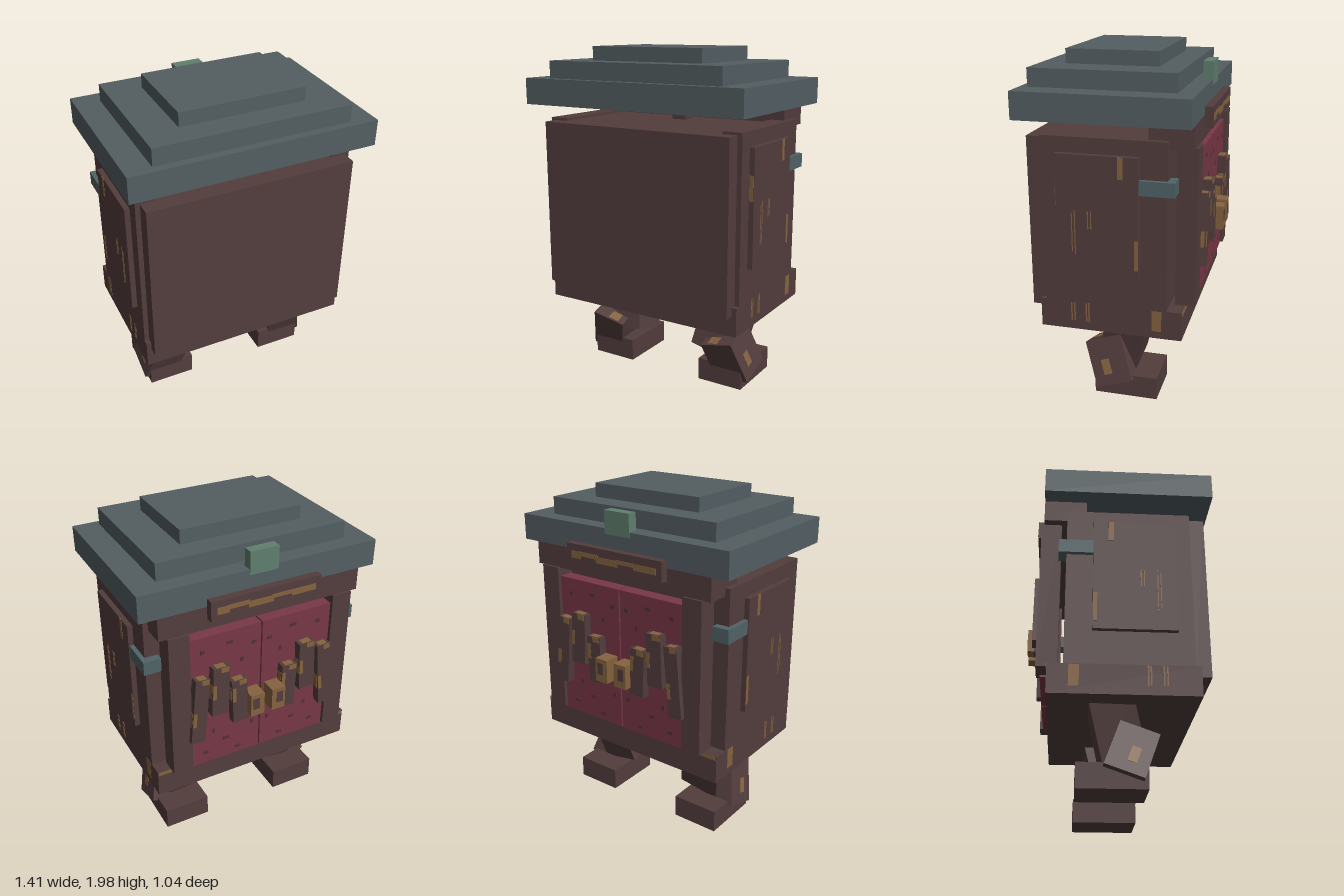
import * as THREE from 'three';

const mat = (name, color) => {
  const m = new THREE.MeshStandardMaterial({ color });
  m.name = name;
  return m;
};

export function createModel() {
  const wood = mat('dark brown', 0x533d3d);
  const slate = mat('slate', 0x535e62);
  const teal = mat('steel teal', 0x506466);
  const red = mat('door red', 0x783746);
  const darkRed = mat('dark red', 0x56303a);
  const gold = mat('worn gold', 0x85633f);
  const green = mat('green', 0x5f7f6f);

  const model = new THREE.Group();

  // box given by its size and centre
  const block = (name, m, w, h, d, x, y, z, parent = model) => {
    const mesh = new THREE.Mesh(new THREE.BoxGeometry(w, h, d), m);
    mesh.name = name;
    mesh.position.set(x, y, z);
    parent.add(mesh);
    return mesh;
  };
  // box given by its limits
  const span = (name, m, x0, x1, y0, y1, z0, z1, parent = model) =>
    block(name, m, x1 - x0, y1 - y0, z1 - z0, (x0 + x1) / 2, (y0 + y1) / 2, (z0 + z1) / 2, parent);

  // stepped roof
  span('roofEave', slate, -0.705, 0.705, 1.67, 1.82, -0.43, 0.52);
  span('roofStep', slate, -0.56, 0.56, 1.82, 1.92, -0.33, 0.475);
  span('roofCap', slate, -0.36, 0.36, 1.92, 2.0, -0.19, 0.33);
  span('roofLamp', green, -0.085, 0.085, 1.79, 1.92, -0.433, -0.375);

  // cabinet body
  span('core', wood, -0.52, 0.52, 0.6, 1.57, -0.3, 0.39);
  span('frontPanel', wood, -0.607, 0.607, 0.595, 1.57, 0.39, 0.477);
  span('base', wood, -0.635, 0.635, 0.478, 0.645, -0.385, 0.42);
  span('topPeg', wood, -0.05, 0.04, 1.56, 1.595, -0.1, -0.03);
  span('lintel', wood, -0.605, 0.605, 1.54, 1.67, -0.43, -0.19);
  span('baseWornEdge', gold, -0.63, 0.63, 0.622, 0.643, -0.388, -0.384);

  // sign with worn marks
  span('sign', wood, -0.33, 0.33, 1.6, 1.715, -0.475, -0.42);
  [[-0.22, 1.655, 0.15, 0.035], [-0.09, 1.662, 0.13, 0.022], [0.04, 1.65, 0.15, 0.035],
    [0.17, 1.665, 0.13, 0.025], [0.26, 1.655, 0.07, 0.04]].forEach(([x, y, w, h]) =>
    block('signWear', gold, w, h, 0.004, x, y, -0.476));

  // wear marks on the side panels and base: z, y, width, height, surface x
  const marks = [
    [-0.055, 1.44, 0.028, 0.12, 0.665], [-0.14, 0.965, 0.022, 0.17, 0.665],
    [0.108, 1.145, 0.006, 0.1, 0.665], [0.125, 1.145, 0.006, 0.1, 0.665],
    [0.198, 1.07, 0.005, 0.25, 0.665], [0.215, 1.07, 0.005, 0.22, 0.665],
    [0.222, 0.585, 0.008, 0.11, 0.635], [0.24, 0.585, 0.008, 0.11, 0.635],
    [0.14, 0.585, 0.008, 0.12, 0.635], [0.155, 0.585, 0.008, 0.11, 0.635],
    [-0.245, 0.58, 0.055, 0.12, 0.635],
  ];

  for (const s of [-1, 1]) {
    // walls, raised panels, door posts and clips
    block('sideWall', wood, 0.115, 1.0, 0.69, s * 0.5775, 1.085, 0.045);
    block('sidePanel', wood, 0.04, 0.665, 0.455, s * 0.645, 1.167, 0.075);
    block('doorPost', wood, 0.12, 0.885, 0.115, s * 0.5, 1.1, -0.388);
    block('clip', teal, 0.1, 0.08, 0.19, s * 0.61, 1.34, -0.248);
    for (const [z, y, w, h, x] of marks) block('wear', gold, 0.004, h, w, s * x, y, z);

    // doors and their stains
    span('door', red, s > 0 ? 0.004 : -0.44, s > 0 ? 0.44 : -0.004, 0.645, 1.49, -0.425, -0.345);
    [[0.05, 1.38, 0.03, 0.02], [0.2, 1.42, 0.04, 0.02], [0.36, 1.4, 0.025, 0.025], [0.12, 1.29, 0.02, 0.03],
      [0.05, 0.84, 0.02, 0.025], [0.22, 0.78, 0.035, 0.02], [0.35, 0.72, 0.03, 0.02], [0.3, 0.86, 0.02, 0.03],
      [0.14, 0.69, 0.03, 0.02]].forEach(([x, y, w, h]) =>
      block('doorStain', darkRed, w, h, 0.004, s * x, y, -0.426));

    // plank teeth: x, bottom, top, width, tilt
    [[0.4, 0.85, 1.26, 0.085, 0.09], [0.275, 1.0, 1.305, 0.1, 0.04], [0.155, 0.91, 1.19, 0.095, -0.04]]
      .forEach(([x, y0, y1, w, tilt], i) => {
        const tooth = new THREE.Group();
        const h = y1 - y0;
        tooth.name = 'tooth';
        tooth.position.set(s * x, (y0 + y1) / 2, -0.449);
        tooth.rotation.z = s * tilt;
        block('plank', wood, w, h, 0.052, 0, 0, 0, tooth);
        block('plankWornTop', gold, w * 0.6, 0.004, 0.04, 0, h / 2, 0, tooth);
        block('plankWear', gold, w * 0.5, 0.03, 0.004, -w * 0.2, h / 2 - 0.016, -0.026, tooth);
        block('plankWear', gold, 0.004, 0.09, 0.035, w / 2, (i - 1) * 0.05, 0, tooth);
        block('plankWear', gold, 0.022, 0.09, 0.004, w / 2 - 0.012, (i - 1) * 0.05, -0.026, tooth);
        model.add(tooth);
      });
    block('smallTooth', gold, 0.085, 0.14, 0.1, s * 0.067, 1.02, -0.468);
    block('smallToothFace', wood, 0.04, 0.07, 0.004, s * 0.075, 1.03, -0.518);

    // leg
    const leg = new THREE.Group();
    leg.name = 'leg';
    const thigh = block('thigh', wood, 0.255, 0.38, 0.24, s * 0.352, 0.375, -0.012, leg);
    thigh.rotation.set(-0.24, 0, s * -0.19);
    const shin = block('shin', wood, 0.215, 0.275, 0.22, s * 0.425, 0.205, 0.055, leg);
    shin.rotation.set(0.34, 0, s * 0.25);
    block('shinWear', gold, 0.004, 0.09, 0.05, s * 0.108, -0.03, 0.02, shin);
    block('shinTopWear', gold, 0.07, 0.004, 0.06, s * -0.03, 0.138, 0.07, shin);
    block('foot', wood, 0.285, 0.135, 0.37, s * 0.388, 0.0875, -0.04, leg);
    model.add(leg);
  }
  block('panelEdgeWear', gold, 0.025, 0.14, 0.004, 0.65, 1.28, 0.303);

  // settle on the ground
  const box = new THREE.Box3().setFromObject(model, true);
  model.children.forEach((c) => { c.position.y -= box.min.y; });
  return model;
}
